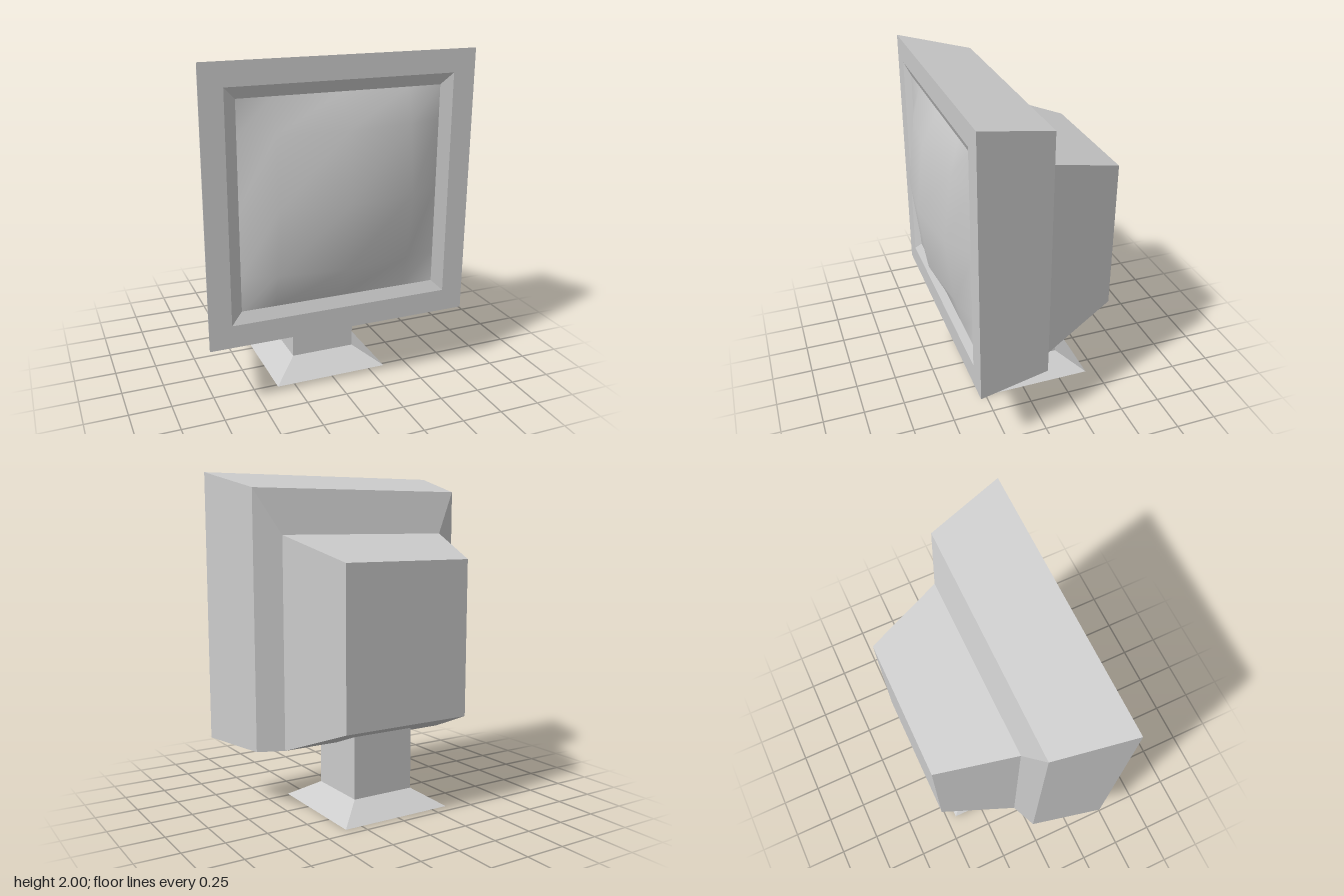
import * as THREE from 'three';

const material = new THREE.MeshStandardMaterial({ color: 0xcccccc, flatShading: true });
const smooth = new THREE.MeshStandardMaterial({ color: 0xcccccc });

// Skins four-cornered rings (counter-clockwise seen from the far end) and caps the ends on request.
function loft(name, rings, capStart, capEnd) {
  const positions = [];
  const quad = (a, b, c, d) => positions.push(...a, ...b, ...c, ...a, ...c, ...d);
  for (let s = 0; s < rings.length - 1; s++) {
    for (let i = 0; i < 4; i++) {
      const j = (i + 1) % 4;
      quad(rings[s][i], rings[s][j], rings[s + 1][j], rings[s + 1][i]);
    }
  }
  if (capStart) quad(...[...rings[0]].reverse());
  if (capEnd) quad(...rings[rings.length - 1]);
  const geometry = new THREE.BufferGeometry();
  geometry.setAttribute('position', new THREE.Float32BufferAttribute(positions, 3));
  geometry.computeVertexNormals();
  const mesh = new THREE.Mesh(geometry, material);
  mesh.name = name;
  return mesh;
}

// Upright rectangle at depth z
const upright = (z, w, y0, y1) => [[-w, y0, z], [w, y0, z], [w, y1, z], [-w, y1, z]];

// Level square at height y, centred on the stand
const STAND_Z = -0.083;
const level = (y, w) => [
  [-w, y, STAND_Z + w], [w, y, STAND_Z + w], [w, y, STAND_Z - w], [-w, y, STAND_Z - w],
];

// Bulging glass: a 4 x 4 grid whose outer edge meets the bezel
function makeScreen() {
  const geometry = new THREE.PlaneGeometry(4, 4, 4, 4);
  const p = geometry.attributes.position;
  const offsets = [0, 0.4, 0.6];
  for (let i = 0; i < p.count; i++) {
    const x = Math.round(p.getX(i)), y = Math.round(p.getY(i));
    const ax = Math.abs(x), ay = Math.abs(y);
    const z = Math.max(ax, ay) === 2 ? 0.39 : 0.535 - 0.048 * (ax + ay);
    p.setXYZ(i, Math.sign(x) * offsets[ax], 1.2 + Math.sign(y) * offsets[ay], z);
  }
  geometry.computeVertexNormals();
  const mesh = new THREE.Mesh(geometry, smooth);
  mesh.name = 'screen';
  return mesh;
}

export function createModel() {
  const model = new THREE.Group();
  model.name = 'monitor';

  // Casing from the back of the tube housing to the recessed bezel
  model.add(loft('casing', [
    upright(-0.535, 0.41, 0.575, 1.5),
    upright(-0.085, 0.55, 0.4, 1.64),
    upright(-0.02, 0.7, 0.4, 1.9),
    upright(0.42, 0.8, 0.4, 2.0),
    upright(0.42, 0.667, 0.535, 1.867),
    upright(0.39, 0.6, 0.6, 1.8),
  ], true, false));

  model.add(makeScreen());

  // Stand: flared foot and square neck reaching into the casing
  model.add(loft('stand', [level(0, 0.355), level(0.1, 0.2), level(0.5, 0.2)], true, true));

  return model;
}
